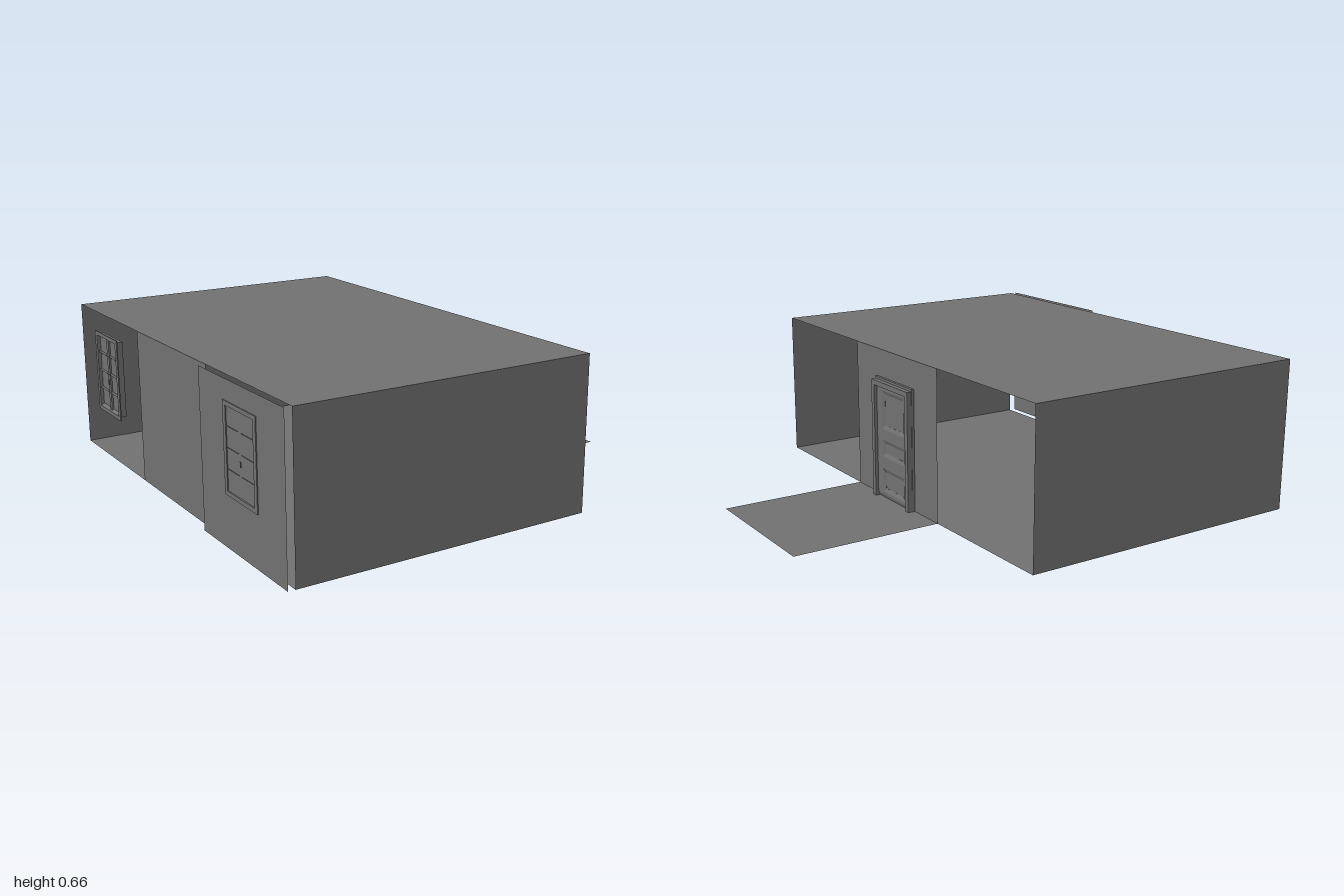
import * as THREE from 'three';

const mat = new THREE.MeshStandardMaterial({ color: 0x707070, side: THREE.DoubleSide, flatShading: true });
const C = 0.655;              // building grid cell
const Y0 = 0.006;             // floor level
const X0 = -0.966, X1 = X0 + 2 * C;
const XM = (X0 + X1) / 2;

function add(parent, name, geo, x, y, z) {
  const m = new THREE.Mesh(geo, mat);
  m.name = name;
  m.position.set(x, y, z);
  parent.add(m);
  return m;
}

function slab(parent, name, w, d, x, y, z) {
  add(parent, name, new THREE.PlaneGeometry(w, d).rotateX(-Math.PI / 2), x, y, z);
}

function rect(path, u0, u1, v0, v1) {
  path.moveTo(u0, v0);
  path.lineTo(u1, v0);
  path.lineTo(u1, v1);
  path.lineTo(u0, v1);
  path.closePath();
  return path;
}

// Rectangular plate with rectangular holes, in the zy plane, thickness along +x
function plate(outer, holes, depth, bevel = {}) {
  const s = rect(new THREE.Shape(), ...outer);
  holes.forEach(h => s.holes.push(rect(new THREE.Path(), ...h)));
  const g = new THREE.ExtrudeGeometry(s, { depth, bevelEnabled: false, ...bevel });
  return g.rotateY(Math.PI / 2);
}

// Triangular bar along z; the flat side is up (h > 0) or down (h < 0)
function wedge(halfDepth, h, length) {
  const s = new THREE.Shape();
  s.moveTo(-halfDepth, h / 2);
  s.lineTo(0, -h / 2);
  s.lineTo(halfDepth, h / 2);
  s.closePath();
  return new THREE.ExtrudeGeometry(s, { depth: length, bevelEnabled: false }).translate(0, 0, -length / 2);
}

// Window centred on its own origin, extending from x = 0 to x = 0.034
function makeWindow(name, halfWidth, halfHeight) {
  const g = new THREE.Group();
  g.name = name;
  const opening = [[-0.105, 0.105, -0.163, 0.163]];
  add(g, 'windowTrim', plate([-0.126, 0.126, -0.18, 0.18], opening, 0.005), 0, 0, 0);
  add(g, 'windowFrame', plate([-halfWidth, halfWidth, -halfHeight, halfHeight], opening, 0.034), 0, 0, 0);
  add(g, 'windowPane', new THREE.BoxGeometry(0.004, 0.326, 0.21), 0.017, 0, 0);
  add(g, 'centreBar', new THREE.BoxGeometry(0.02, 0.326, 0.022), 0.017, 0, 0);
  add(g, 'windowSill', wedge(0.015, -0.01, 0.21), 0.017, -0.158, 0);
  for (const y of [-0.082, 0, 0.082])
    for (const z of [-0.059, 0.059])
      add(g, 'glazingBar', wedge(0.016, 0.012, 0.092), 0.017, y, z);
  add(g, 'windowHandle', new THREE.BoxGeometry(0.03, 0.022, 0.007), 0.017, -0.032, 0);
  return g;
}

// Door with its surround; origin at the wall plane, bottom centre
function makeDoor() {
  const g = new THREE.Group();
  g.name = 'door';
  for (const s of [-1, 1]) {
    add(g, 'doorPost', new THREE.BoxGeometry(0.035, 0.53, 0.022), 0.0155, 0.265, s * 0.137);
    add(g, 'doorTrim', new THREE.BoxGeometry(0.012, 0.54, 0.026), 0.006, 0.27, s * 0.137);
  }
  add(g, 'doorLintel', new THREE.BoxGeometry(0.035, 0.022, 0.252), 0.0155, 0.519, 0);
  add(g, 'doorTrim', new THREE.BoxGeometry(0.012, 0.026, 0.252), 0.006, 0.527, 0);
  // leaf with three sunken panels that slope in from the face
  const holes = [[0.035, 0.14], [0.195, 0.27], [0.32, 0.49]].map(p => [-0.084, 0.096, ...p]);
  const bevel = { bevelEnabled: true, bevelSegments: 1, bevelSize: 0.016, bevelThickness: 0.007 };
  add(g, 'doorLeaf', plate([-0.126, 0.126, 0.022, 0.505], holes, 0.002, bevel), 0.01, 0, 0);
  add(g, 'panelBack', new THREE.BoxGeometry(0.003, 0.48, 0.22), 0.01, 0.264, 0);
  return g;
}

export function createModel() {
  const model = new THREE.Group();
  model.name = 'house';

  // Floor, roof and path
  slab(model, 'floor', 2 * C, 3 * C, XM, Y0, 0);
  slab(model, 'roof', 2 * C, 3 * C, XM, Y0 + C, 0);
  slab(model, 'path', C, C, X1 + C / 2, Y0, 0);

  // Solid front and back walls
  for (const s of [-1, 1])
    add(model, s > 0 ? 'frontWall' : 'backWall', new THREE.PlaneGeometry(2 * C, C), XM, Y0 + C / 2, s * 1.5 * C);

  // Single-cell side walls; the other cells stay open
  const sideWall = (name, x, z) =>
    add(model, name, new THREE.PlaneGeometry(C, C).rotateY(Math.PI / 2), x, Y0 + C / 2, z);
  sideWall('doorWall', X1, 0);
  sideWall('plainWall', X0, 0);
  sideWall('windowWall', -0.996, C);

  const door = makeDoor();
  door.position.set(X1, 0, 0);
  model.add(door);

  // One window in its wall, one standing in the open cell
  const wallWindow = makeWindow('wallWindow', 0.123, 0.178);
  wallWindow.position.set(-1.0, 0.4, C);
  const openWindow = makeWindow('openWindow', 0.11, 0.168);
  openWindow.position.set(-0.982, 0.4, -C);
  model.add(wallWindow, openWindow);

  return model;
}
